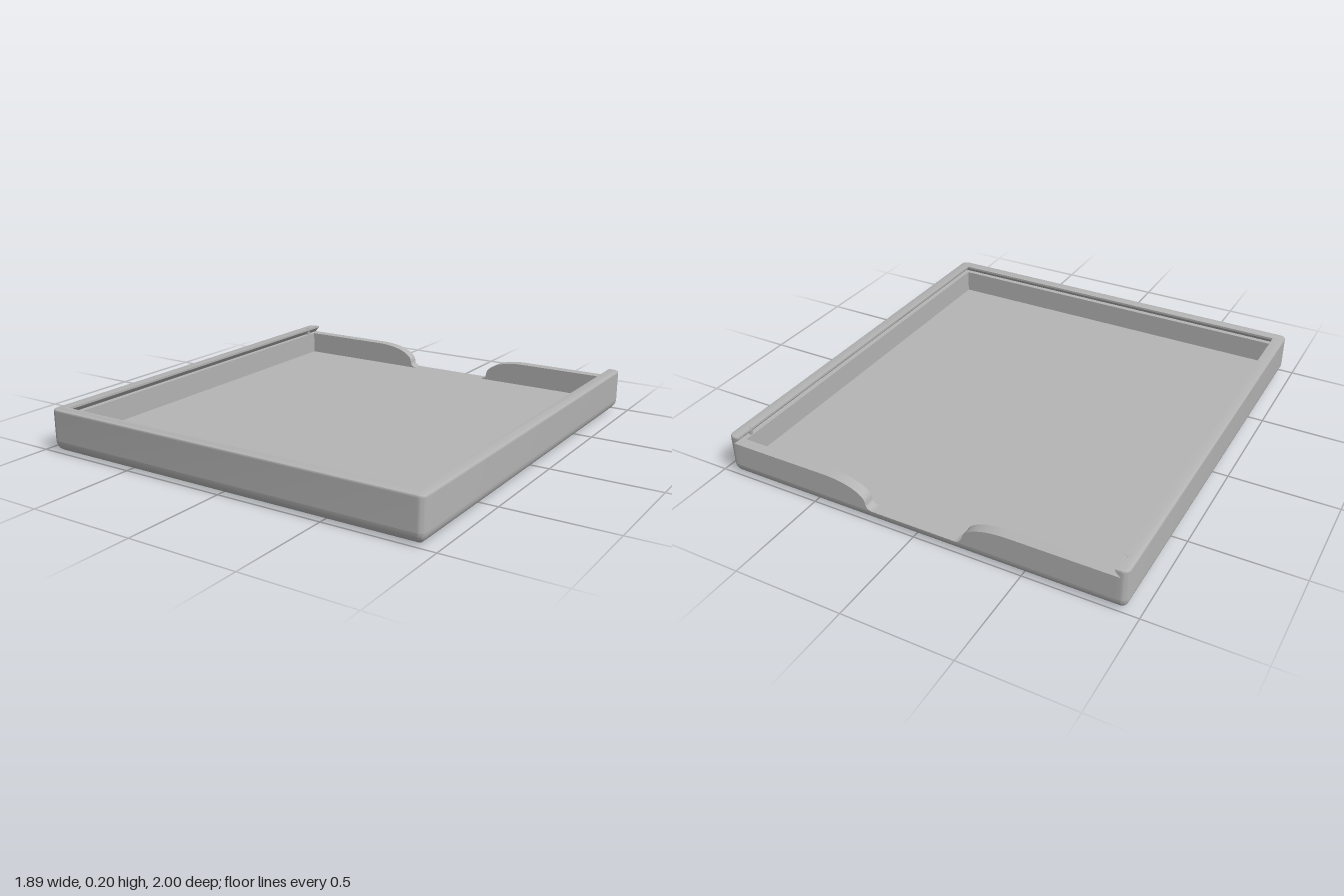
import * as THREE from 'three';
import { toCreasedNormals } from 'three/addons/utils/BufferGeometryUtils.js';

const W = 0.945, D = 1, CORNER = 0.03;      // half width, half depth, corner radius
const FLOOR = 0.055, LEDGE = 0.165, TOP = 0.2;
const INX = 0.89, INZ = 0.945, BACK = 0.05; // inner walls, back wall thickness

// Quarter circle of outline points, v = -z
function corner(cx, cv, r, start) {
  const pts = [];
  for (let i = 0; i <= 6; i++) {
    const a = start + (i / 6) * Math.PI / 2;
    pts.push(new THREE.Vector2(cx + r * Math.cos(a), cv + r * Math.sin(a)));
  }
  return pts;
}

// Outer rounded corners, inset by d: front left, front right, back right, back left
function outerCorners(d) {
  const r = Math.max(CORNER - d, 0.006), x = W - d - r, v = D - d - r;
  return [[-x, -v, 2], [x, -v, 3], [x, v, 0], [-x, v, 1]]
    .map(([cx, cv, q]) => corner(cx, cv, r, q * Math.PI / 2));
}

// Solid through stacked outlines, capped at both ends
function loft(rings, crease) {
  const pos = [];
  const put = (ring, i) => pos.push(ring.pts[i].x, ring.y, -ring.pts[i].y);
  for (let k = 0; k + 1 < rings.length; k++) {
    const lo = rings[k], hi = rings[k + 1], n = lo.pts.length;
    for (let i = 0; i < n; i++) {
      const j = (i + 1) % n;
      put(lo, i); put(lo, j); put(hi, j);
      put(lo, i); put(hi, j); put(hi, i);
    }
  }
  const first = rings[0], last = rings[rings.length - 1];
  for (const [a, b, c] of THREE.ShapeUtils.triangulateShape(first.pts, [])) {
    put(first, a); put(first, c); put(first, b);
  }
  for (const [a, b, c] of THREE.ShapeUtils.triangulateShape(last.pts, [])) {
    put(last, a); put(last, b); put(last, c);
  }
  const g = new THREE.BufferGeometry();
  g.setAttribute('position', new THREE.Float32BufferAttribute(pos, 3));
  return toCreasedNormals(g, crease);
}

// U-shaped wall outline, open at the back; groove widens the inside
function wallOutline(d, groove) {
  const [fl, fr, br, bl] = outerCorners(d);
  const x = INX + groove, v = -(INZ + groove), back = D - d;
  const inner = [[x, back], [x, v], [-x, v], [-x, back]].map(p => new THREE.Vector2(...p));
  return [...fl, ...fr, ...br, ...inner, ...bl];
}

export function createModel() {
  const model = new THREE.Group();
  const grey = new THREE.MeshStandardMaterial({ color: 0xb4b4b4 });
  grey.name = 'grey plastic';
  const add = (name, geometry) => {
    const mesh = new THREE.Mesh(geometry, grey);
    mesh.name = name;
    model.add(mesh);
    return mesh;
  };

  // Floor slab with rounded lower edge
  const slab = [];
  for (let i = 0; i <= 8; i++) {
    const a = (i / 8) * Math.PI / 2;
    slab.push({ y: FLOOR * (1 - Math.cos(a)), pts: outerCorners(FLOOR * (1 - Math.sin(a))).flat() });
  }
  add('floor', loft(slab, 0.6));

  // Side and front walls with undercut groove for a sliding lid
  const rings = [
    [FLOOR, 0, 0], [LEDGE, 0, 0], [LEDGE, 0, 0.025], [0.19, 0, 0],
    [0.194, 0, 0], [0.198, 0.002, 0], [TOP, 0.006, 0],
  ].map(([y, d, groove]) => ({ y, pts: wallOutline(d, groove) }));
  add('sideAndFrontWalls', loft(rings, 0.6));

  for (const s of [1, -1]) {
    const side = s > 0 ? 'left' : 'right';

    // Lower back wall, curving down into the thumb notch
    const shape = new THREE.Shape();
    shape.moveTo(s * INX, FLOOR);
    shape.lineTo(s * INX, LEDGE);
    shape.lineTo(s * 0.44, LEDGE);
    shape.bezierCurveTo(s * 0.32, LEDGE, s * 0.235, 0.13, s * 0.232, 0.085);
    shape.quadraticCurveTo(s * 0.23, 0.06, s * 0.2, FLOOR);
    const wall = new THREE.ExtrudeGeometry(shape, { depth: BACK, bevelEnabled: false, curveSegments: 16 });
    wall.translate(0, 0, -D);
    add(side + 'BackWall', toCreasedNormals(wall, 0.6));

    // Small lid catch in the groove
    const pin = add(side + 'LidCatch', new THREE.CylinderGeometry(0.012, 0.012, TOP - LEDGE + 0.001, 4));
    pin.position.set(s * 0.902, (TOP + LEDGE) / 2 + 0.0005, -0.905);
  }
  return model;
}
